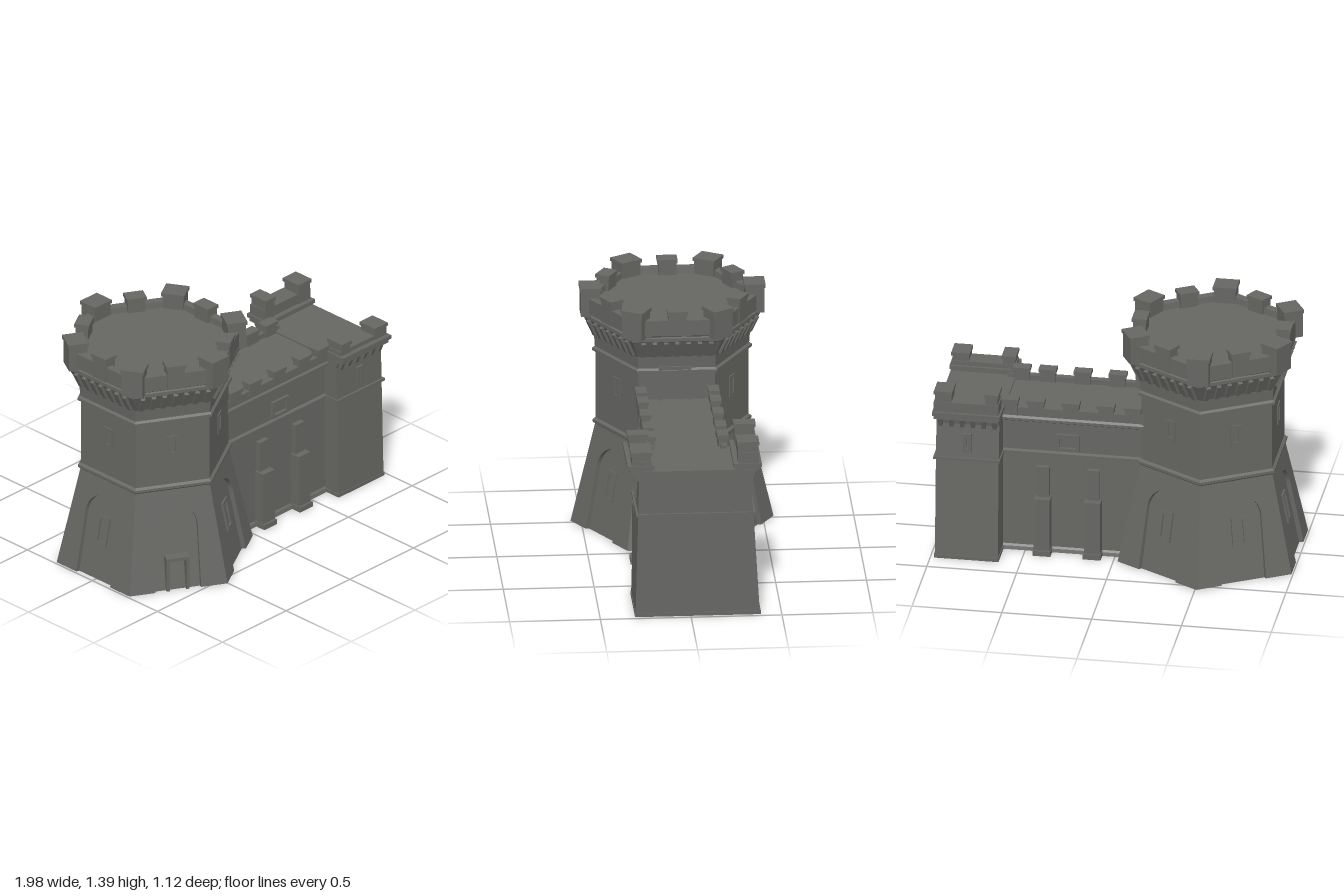
import * as THREE from 'three';

const stone = new THREE.MeshStandardMaterial({ color: 0x666663, flatShading: true });
stone.name = 'darkStone';

function add(parent, name, geometry, x = 0, y = 0, z = 0) {
  const m = new THREE.Mesh(geometry, stone);
  m.name = name;
  m.position.set(x, y, z);
  parent.add(m);
  return m;
}

// Box given by its ranges
function block(parent, name, x0, x1, y0, y1, z0, z1) {
  return add(parent, name, new THREE.BoxGeometry(x1 - x0, y1 - y0, z1 - z0),
    (x0 + x1) / 2, (y0 + y1) / 2, (z0 + z1) / 2);
}

// Merlon with a slightly wider cap stone
function merlon(parent, x0, x1, y0, y1, z0, z1) {
  block(parent, 'merlon', x0, x1, y0, y1 - 0.02, z0, z1);
  block(parent, 'merlonCap', x0 - 0.006, x1 + 0.006, y1 - 0.02, y1, z0 - 0.006, z1 + 0.006);
}

// Raised frame around an opening, facing +z of its parent
function frame(parent, name, w, h, x, y, z, sill = true) {
  const g = new THREE.Group(), t = 0.018, d = 0.012;
  g.name = name;
  g.position.set(x, y, z);
  for (const s of [-1, 1]) {
    const c = s * (w - t) / 2;
    block(g, 'jamb', c - t / 2, c + t / 2, 0, h, -d, d);
  }
  block(g, 'lintel', -w / 2, w / 2, h - t, h, -d, d);
  if (sill) block(g, 'sill', -w / 2, w / 2, 0, t, -d, d);
  parent.add(g);
  return g;
}

// Profile of [z, y] points swept along x
function sweepX(parent, name, points, x0, x1) {
  const shape = new THREE.Shape(points.map(([z, y]) => new THREE.Vector2(-z, y)));
  const geo = new THREE.ExtrudeGeometry(shape, { depth: x1 - x0, bevelEnabled: false });
  geo.rotateY(Math.PI / 2);
  return add(parent, name, geo, x0, 0, 0);
}

const hexLathe = (pts) => new THREE.LatheGeometry(pts.map(([r, y]) => new THREE.Vector2(r, y)), 6);

function buildTower() {
  const tower = new THREE.Group();
  tower.name = 'hexTower';
  tower.position.x = -0.51;

  // Sloping core behind the arches, then the shaft, flare and parapet
  add(tower, 'baseCore', hexLathe([[0, 0], [0.53, 0], [0.395, 0.585], [0, 0.585]]));
  add(tower, 'shaft', hexLathe([
    [0, 0.57], [0.425, 0.575], [0.437, 0.585], [0.437, 0.6], [0.42, 0.61], [0.42, 1.0],
    [0.44, 1.005], [0.44, 1.02], [0.425, 1.03], [0.43, 1.1], [0.485, 1.2], [0.492, 1.205],
    [0.492, 1.225], [0.48, 1.23], [0.497, 1.24], [0.497, 1.33], [0.445, 1.33], [0.44, 1.295], [0, 1.295],
  ]));

  // Arched panel used on every sloping base face
  const panel = new THREE.Shape();
  panel.moveTo(-0.28, 0);
  panel.lineTo(-0.13, 0);
  panel.lineTo(-0.13, 0.36);
  panel.absarc(0, 0.36, 0.13, Math.PI, 0, true);
  panel.lineTo(0.13, 0);
  panel.lineTo(0.28, 0);
  panel.lineTo(0.21, 0.6);
  panel.lineTo(-0.21, 0.6);
  panel.closePath();
  const panelGeo = new THREE.ExtrudeGeometry(panel, { depth: 0.028, bevelEnabled: false, curveSegments: 12 });
  panelGeo.translate(0, 0, -0.028);

  for (let i = 0; i < 6; i++) {
    const face = new THREE.Group();
    face.name = 'towerFace';
    face.rotation.y = Math.PI / 6 + i * Math.PI / 3;
    tower.add(face);

    const slope = new THREE.Group();
    slope.name = 'slopingBase';
    slope.position.set(0, 0.005, 0.484);
    slope.rotation.x = -Math.atan(0.121 / 0.59);
    face.add(slope);
    add(slope, 'archPanel', panelGeo);
    if (i === 5) {
      // Entrance porch stands upright in the front left arch
      frame(face, 'entrance', 0.13, 0.2, 0, 0, 0.465, false);
      block(face, 'entranceRoof', -0.065, 0.065, 0.185, 0.2, 0.4, 0.475);
      for (const s of [-1, 1]) block(face, 'porchWall', s * 0.056 - 0.009, s * 0.056 + 0.009, 0, 0.2, 0.4, 0.47);
    } else if (i !== 1) {
      frame(slope, 'archWindow', 0.085, 0.17, 0, 0.2, -0.024);
    }
    if (i !== 1) frame(face, 'shaftWindow', 0.065, 0.12, 0, 0.79, 0.359);

    // Corbels under the flare
    for (let k = -3; k <= 3; k++) {
      const c = add(face, 'corbel', new THREE.BoxGeometry(0.024, 0.1, 0.03), k * 0.062, 1.155, 0.401);
      c.rotation.x = 0.45;
    }

    // Middle merlon of the face, and the corner merlon next to it
    merlon(face, -0.05, 0.05, 1.24, 1.385, 0.365, 0.437);
    const corner = new THREE.Group();
    corner.name = 'cornerMerlon';
    corner.rotation.y = i * Math.PI / 3;
    tower.add(corner);
    merlon(corner, -0.06, 0.06, 1.225, 1.39, 0.4, 0.505);
  }

  // Doorway from the tower onto the wing roof
  const door = frame(tower, 'roofDoor', 0.18, 0.2, 0.368, 0.84, 0.01, false);
  door.rotation.y = Math.PI / 2;
  return tower;
}

function buildWing() {
  const wing = new THREE.Group();
  wing.name = 'wing';

  // Long wall with string course, cornice and sunken roof walk
  const half = [[0.215, 0], [0.21, 0.02], [0.2, 0.03], [0.195, 0.585], [0.212, 0.59], [0.212, 0.603],
    [0.195, 0.61], [0.195, 0.78], [0.222, 0.795], [0.222, 0.81], [0.21, 0.82], [0.22, 0.825],
    [0.22, 0.875], [0.185, 0.875], [0.185, 0.845]];
  const mirrored = half.map(([z, y]) => [-z, y]).reverse();
  sweepX(wing, 'longWall', [...half, ...mirrored], -0.2, 0.66);

  for (const s of [-1, 1]) {
    const side = new THREE.Group();
    side.name = s > 0 ? 'frontSide' : 'backSide';
    wing.add(side);
    const put = (name, x0, x1, y0, y1, a, b) =>
      block(side, name, x0, x1, y0, y1, Math.min(s * a, s * b), Math.max(s * a, s * b));

    for (const x of [-0.1, 0.05, 0.245, 0.44, 0.585]) {
      merlon(side, x - 0.043, x + 0.043, 0.83, 0.922, s * 0.2 - 0.025, s * 0.2 + 0.025);
    }
    // Stepped buttresses
    for (const x of [0.12, 0.4]) {
      put('buttressFoot', x - 0.05, x + 0.05, 0, 0.03, 0.18, 0.275);
      put('buttress', x - 0.045, x + 0.045, 0, 0.34, 0.18, 0.262);
      put('buttressTop', x - 0.035, x + 0.035, 0.34, 0.52, 0.18, 0.225);
    }
    const w = frame(side, 'wallWindow', 0.13, 0.1, 0.265, 0.62, s * 0.2);
    if (s < 0) w.rotation.y = Math.PI;
  }
  return wing;
}

function buildEndBlock() {
  const end = new THREE.Group();
  end.name = 'endBlock';
  sweepX(end, 'endWalls', [[0.305, 0], [0.29, 0.59], [0.285, 0.8], [0.3, 0.845], [-0.335, 0.845],
    [-0.325, 0.8], [-0.345, 0.59], [-0.38, 0]], 0.625, 0.975);
  block(end, 'plinth', 0.62, 0.98, 0, 0.02, -0.385, 0.308);
  block(end, 'stringCourse', 0.618, 0.988, 0.588, 0.604, -0.355, 0.302);
  block(end, 'roofWalk', 0.62, 0.985, 0.835, 0.855, -0.34, 0.31);

  // Parapets on the two sides, the back one taller: outer z, inner z, wall top, merlon top
  for (const [outer, inner, wallTop, top] of [[0.35, 0.2, 0.915, 0.965], [-0.39, -0.235, 0.95, 1.013]]) {
    const s = Math.sign(outer), lo = Math.min(outer, inner), hi = Math.max(outer, inner);
    block(end, 'parapetLedge', 0.612, 0.99, 0.868, 0.89, lo, hi);
    block(end, 'parapetBase', 0.62, 0.982, 0.845, 0.87, lo + 0.012, hi - 0.012);
    block(end, 'parapetWall', 0.622, 0.982, 0.885, wallTop, lo + 0.015, hi - 0.03);
    merlon(end, 0.628, 0.695, 0.885, top, lo + 0.02, hi - 0.025);
    merlon(end, 0.885, 0.976, 0.885, top, lo + 0.02, hi - 0.025);
    for (let k = 0; k < 6; k++) {
      const x = 0.65 + k * 0.06;
      const c = add(end, 'corbel', new THREE.BoxGeometry(0.022, 0.07, 0.03), x, 0.825, outer - s * 0.05);
      c.rotation.x = s * 0.4;
    }
    // Slit window below the corbels
    const w = frame(end, 'slitWindow', 0.045, 0.11, 0.8, 0.64, s > 0 ? 0.288 : -0.338);
    if (s < 0) w.rotation.y = Math.PI;
  }
  return end;
}

export function createModel() {
  const castle = new THREE.Group();
  castle.name = 'castle';
  castle.add(buildTower(), buildWing(), buildEndBlock());
  return castle;
}
